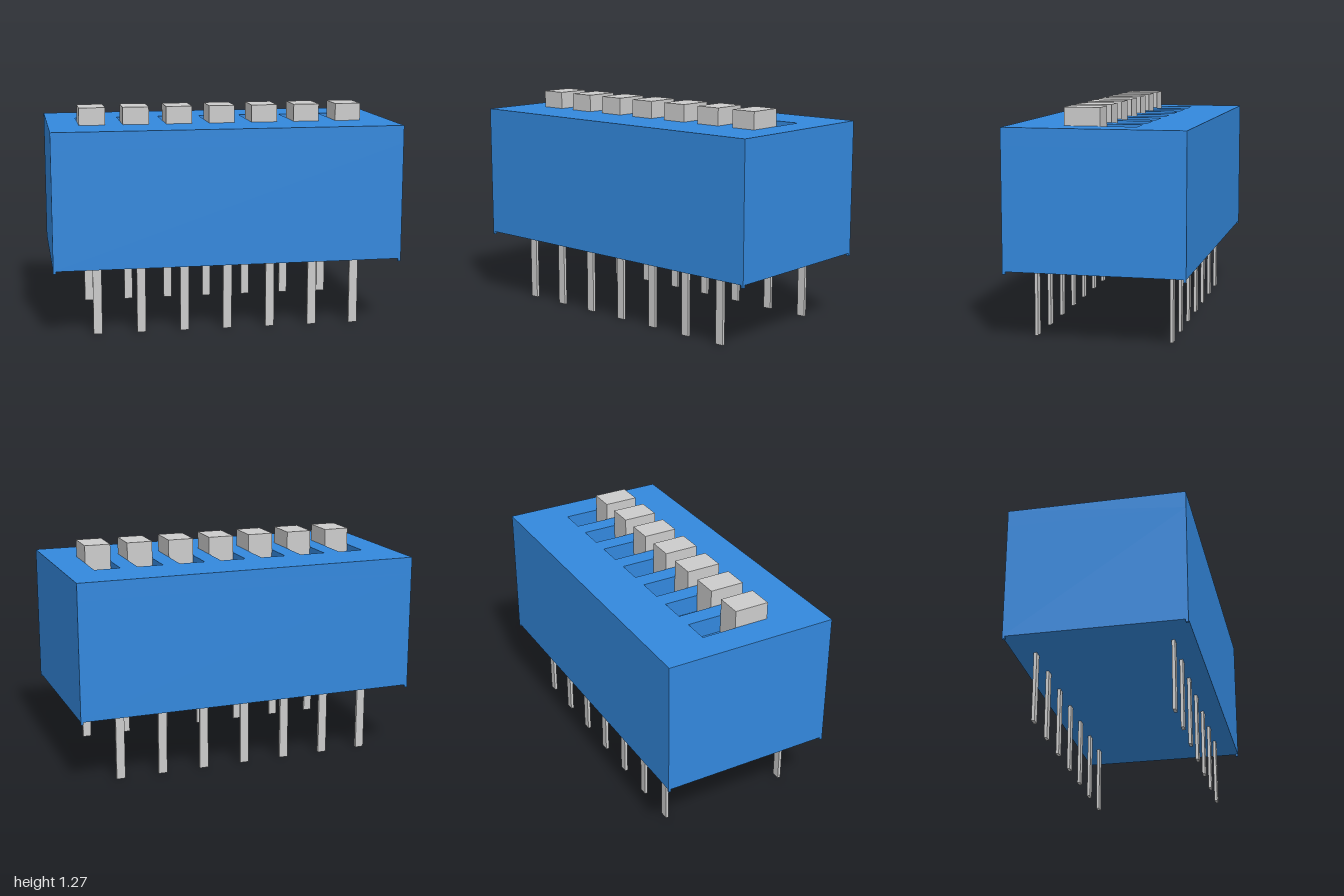
import * as THREE from 'three';

export function createModel() {
  const model = new THREE.Group();
  const blue = new THREE.MeshStandardMaterial({ color: 0x3388dd });
  const grey = new THREE.MeshStandardMaterial({ color: 0xcccccc });

  const COUNT = 7, PITCH = 0.25;
  const BASE = 0.4, TOP = 1.175, SLOT_DEPTH = 0.1;
  const FLOOR = TOP - SLOT_DEPTH;
  const SLOT_W = 0.15, SLOT_HALF = 0.2;
  const columns = Array.from({ length: COUNT }, (_, i) => (i - (COUNT - 1) / 2) * PITCH);

  function box(name, material, w, h, d, x, bottom, z, parent = model) {
    const mesh = new THREE.Mesh(new THREE.BoxGeometry(w, h, d), material);
    mesh.name = name;
    mesh.position.set(x, bottom + h / 2, z);
    parent.add(mesh);
  }

  function rect(path, x0, y0, x1, y1) {
    path.moveTo(x0, y0);
    path.lineTo(x1, y0);
    path.lineTo(x1, y1);
    path.lineTo(x0, y1);
    path.closePath();
    return path;
  }

  // Housing: solid lower block and a top plate pierced by the slots
  const housing = new THREE.Group();
  housing.name = 'housing';
  model.add(housing);
  box('housingBlock', blue, 2, FLOOR - BASE, 1, 0, BASE, 0, housing);

  const plate = rect(new THREE.Shape(), -1, -0.5, 1, 0.5);
  for (const x of columns) {
    plate.holes.push(rect(new THREE.Path(), x - SLOT_W / 2, -SLOT_HALF, x + SLOT_W / 2, SLOT_HALF));
  }
  const plateGeometry = new THREE.ExtrudeGeometry(plate, { depth: SLOT_DEPTH, bevelEnabled: false });
  plateGeometry.rotateX(-Math.PI / 2);
  const slottedTop = new THREE.Mesh(plateGeometry, blue);
  slottedTop.name = 'slottedTop';
  slottedTop.position.y = FLOOR;
  housing.add(slottedTop);

  // Tiny standoff feet at the four corners
  const FOOT = 0.015;
  for (const sx of [-1, 1]) {
    for (const sz of [-1, 1]) {
      box('cornerFoot', blue, FOOT, FOOT, FOOT, sx * (1 - FOOT / 2), BASE - FOOT, sz * (0.5 - FOOT / 2), housing);
    }
  }

  // One slider in the front half of each slot, and a pin on each side
  for (const x of columns) {
    box('slider', grey, SLOT_W, 0.2, SLOT_HALF, x, FLOOR, SLOT_HALF / 2);
    for (const side of [-1, 1]) box('pin', grey, 0.05, BASE, 0.0175, x, 0, side * 0.381);
  }

  return model;
}
